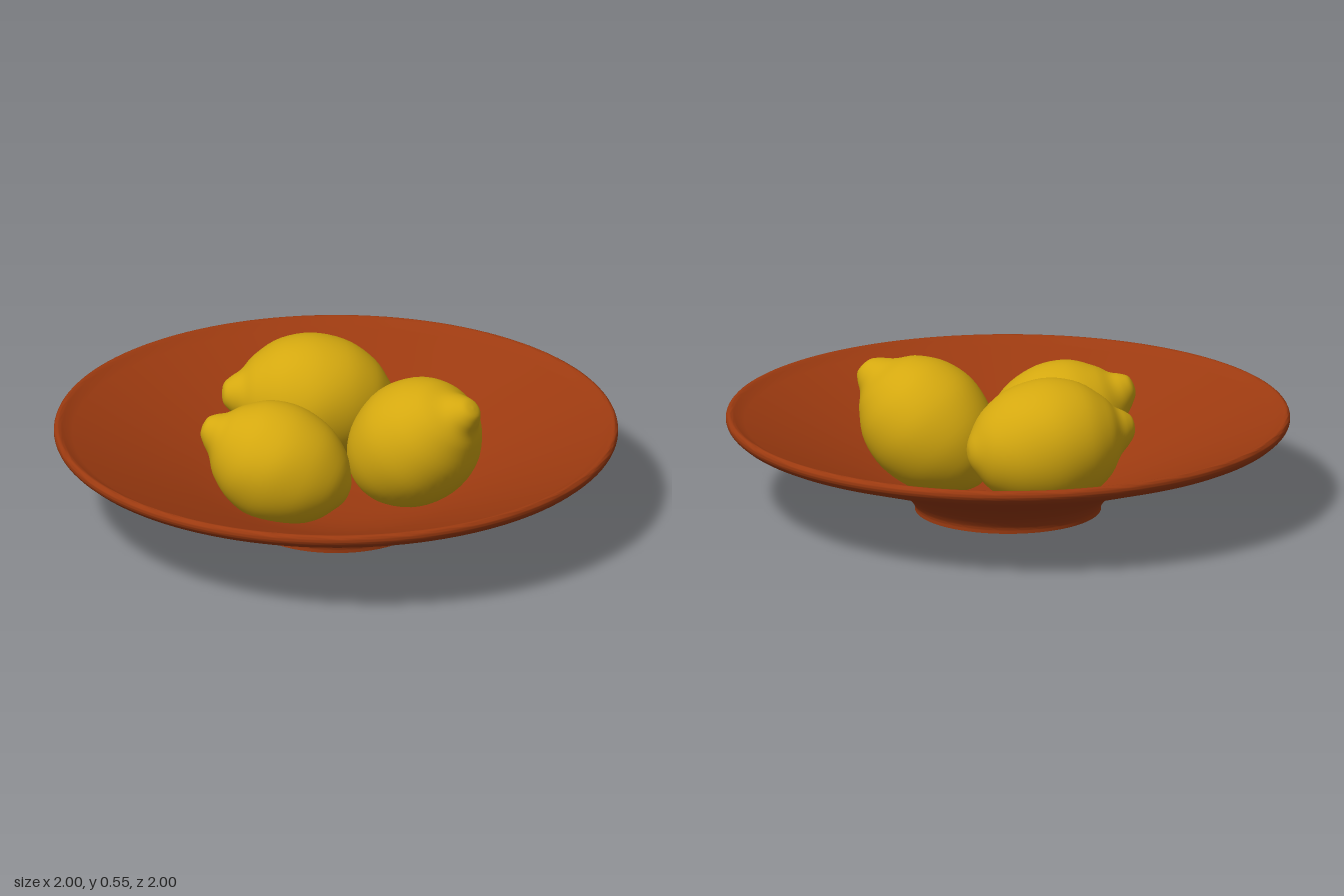
import * as THREE from 'three';
import { mergeVertices, toCreasedNormals } from 'three/addons/utils/BufferGeometryUtils.js';

const vec2 = (pairs) => pairs.map(([r, y]) => new THREE.Vector2(r, y));
const smooth = (pairs, n) => new THREE.SplineCurve(vec2(pairs)).getPoints(n);

// Shallow dish on a hollow foot, turned from one closed profile
function createBowl() {
  const recess = vec2([[0, 0.035], [0.15, 0.035], [0.27, 0.03], [0.305, 0.02], [0.32, 0]]);
  const outside = smooth([[0.33, 0], [0.335, 0.025], [0.37, 0.065], [0.45, 0.112],
    [0.6, 0.17], [0.8, 0.238], [0.96, 0.292]], 36);
  const rim = smooth([[0.975, 0.299], [0.994, 0.316], [1, 0.332], [0.995, 0.347],
    [0.983, 0.35], [0.968, 0.342]], 16);
  const inside = smooth([[0.95, 0.33], [0.8, 0.268], [0.6, 0.188], [0.4, 0.112],
    [0.25, 0.072], [0.12, 0.057], [0, 0.055]], 36);
  inside[inside.length - 1].x = 0;
  const geometry = new THREE.LatheGeometry([...recess, ...outside, ...rim, ...inside], 128);
  const material = new THREE.MeshStandardMaterial({ color: 0x9c3a10 });
  const bowl = new THREE.Mesh(toCreasedNormals(geometry, 0.9), material);
  bowl.name = 'bowl';
  return bowl;
}

// Lemon along +y: blunt stem end below, nipple on top, faintly lumpy skin
function createLemonGeometry() {
  const profile = smooth([[0, -0.288], [0.03, -0.285], [0.07, -0.266], [0.14, -0.215],
    [0.2, -0.122], [0.226, 0], [0.203, 0.115], [0.145, 0.2], [0.09, 0.246],
    [0.062, 0.282], [0.035, 0.308], [0, 0.315]], 48);
  profile[0].x = profile[profile.length - 1].x = 0;
  let geometry = new THREE.LatheGeometry(profile, 56);
  geometry.deleteAttribute('uv');
  geometry.deleteAttribute('normal');
  geometry = mergeVertices(geometry, 1e-5);
  const p = geometry.attributes.position;
  for (let i = 0; i < p.count; i++) {
    const x = p.getX(i), y = p.getY(i), z = p.getZ(i);
    const s = 1 + 0.008 * Math.sin(17 * x + 9 * y) * Math.cos(15 * z - 11 * y);
    const bend = 0.02 * Math.max(0, (y - 0.2) / 0.1);
    p.setXYZ(i, x * s + bend, y, z * s);
  }
  geometry.computeVertexNormals();
  return geometry;
}

export function createModel() {
  const model = new THREE.Group();
  model.name = 'bowlOfLemons';
  model.add(createBowl());

  const geometry = createLemonGeometry();
  const material = new THREE.MeshStandardMaterial({ color: 0xd4a80f });
  const lemons = [
    { name: 'lemonBackRight', at: [-0.28, 0.325, -0.165], axis: [-0.66, 0.06, 0.75], size: 1.02 },
    { name: 'lemonBackLeft', at: [0.24, 0.31, -0.155], axis: [0.73, 0.66, -0.15], size: 0.99 },
    { name: 'lemonFront', at: [-0.053, 0.267, 0.24], axis: [-0.75, 0.39, 0.535], size: 0.95 },
  ];
  const up = new THREE.Vector3(0, 1, 0);
  for (const { name, at, axis, size } of lemons) {
    const lemon = new THREE.Mesh(geometry, material);
    lemon.name = name;
    lemon.position.set(...at);
    lemon.quaternion.setFromUnitVectors(up, new THREE.Vector3(...axis).normalize());
    lemon.scale.setScalar(size);
    model.add(lemon);
  }
  return model;
}
